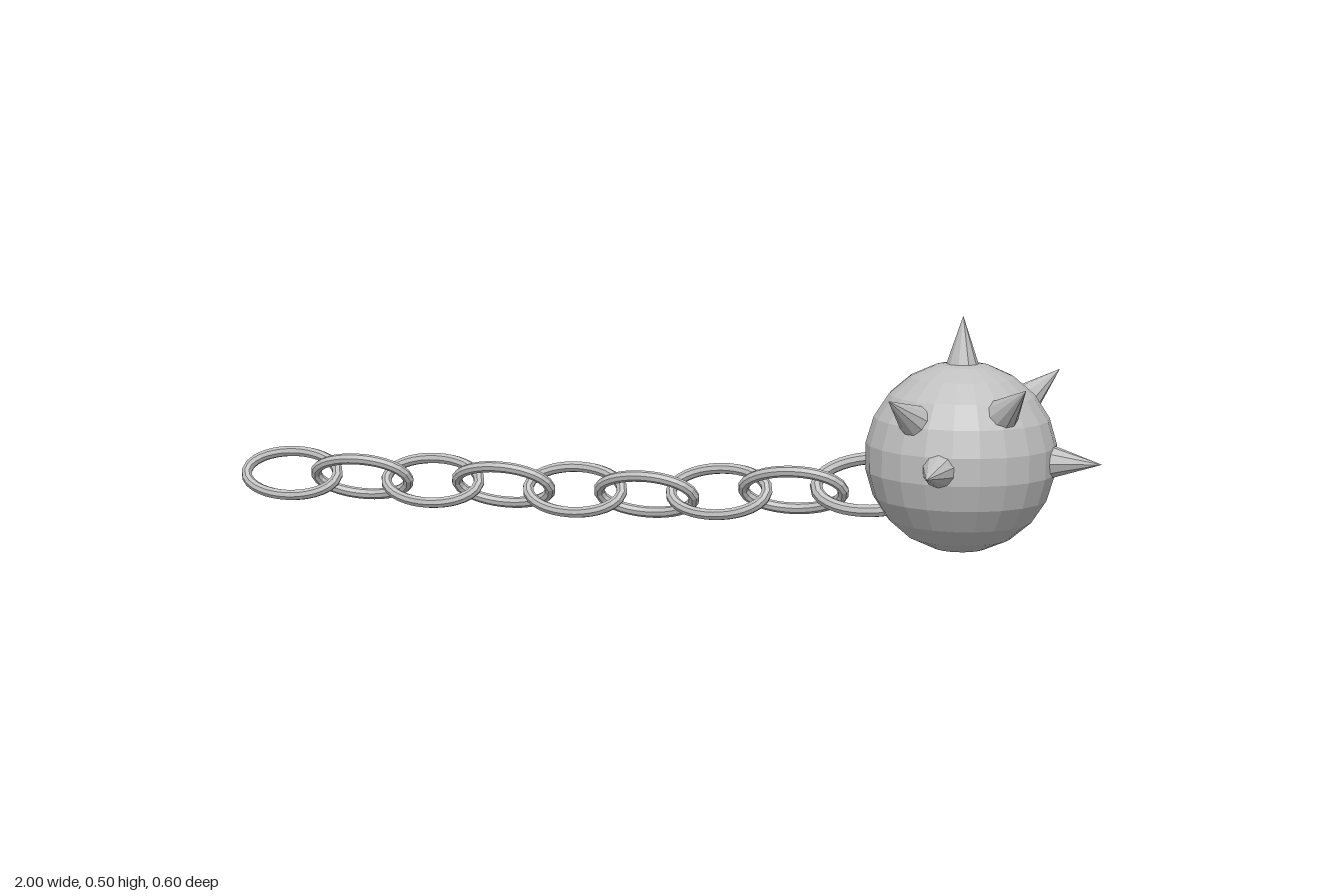
import * as THREE from 'three';

export function createModel() {
  const model = new THREE.Group();
  model.name = 'spikedBallAndChain';
  const steel = new THREE.MeshStandardMaterial({ color: 0xc0c0c0, flatShading: true });
  steel.name = 'steel';

  // Faceted ball
  const center = new THREE.Vector3(0.7, 0.203, 0);
  const ball = new THREE.Mesh(new THREE.SphereGeometry(0.202, 22, 11), steel);
  ball.name = 'ball';
  ball.position.copy(center);
  model.add(ball);

  // Spikes pointing outward from the ball
  const spikeLength = 0.105;
  const spikeGeometry = new THREE.ConeGeometry(0.035, spikeLength, 10);
  spikeGeometry.translate(0, 0.298 - spikeLength / 2, 0);
  const up = new THREE.Vector3(0, 1, 0);
  const addSpike = (x, y, z) => {
    const spike = new THREE.Mesh(spikeGeometry, steel);
    spike.name = 'spike';
    spike.position.copy(center);
    spike.quaternion.setFromUnitVectors(up, new THREE.Vector3(x, y, z).normalize());
    model.add(spike);
  };
  addSpike(0, 1, 0);
  addSpike(1, 0, 0);
  for (const side of [-1, 1]) {
    addSpike(0, 0, side);
    addSpike(1, 1, side);
    addSpike(-0.095, 0.146, side * 0.24);
  }

  // One oval chain link, lying in its own xy plane
  const oval = [];
  for (let i = 0; i < 24; i++) {
    const a = (i / 24) * Math.PI * 2;
    oval.push(new THREE.Vector3(0.113 * Math.cos(a), 0.056 * Math.sin(a), 0));
  }
  const linkGeometry = new THREE.TubeGeometry(
    new THREE.CatmullRomCurve3(oval, true), 32, 0.0125, 8, true);

  // Link centres along the gently curved chain
  const path = [
    [-0.875, 0.072, 0], [-0.702, 0.072, -0.013], [-0.53, 0.072, -0.024],
    [-0.357, 0.072, -0.028], [-0.184, 0.072, -0.028], [-0.012, 0.073, -0.022],
    [0.16, 0.092, -0.012], [0.333, 0.108, 0], [0.51, 0.131, -0.005],
  ].map((p) => new THREE.Vector3(...p));

  // Links follow the path and alternate their roll; the last one is larger
  const chain = new THREE.Group();
  chain.name = 'chain';
  path.forEach((p, i) => {
    const before = path[Math.max(i - 1, 0)];
    const after = path[Math.min(i + 1, path.length - 1)];
    const d = after.clone().sub(before).normalize();
    const link = new THREE.Mesh(linkGeometry, steel);
    link.name = 'chainLink';
    link.position.copy(p);
    const roll = (i % 2 ? 1 : -1) * 0.61;
    link.rotation.set(roll, Math.atan2(-d.z, d.x), 0.6 * Math.asin(d.y), 'YZX');
    if (i === path.length - 1) link.scale.setScalar(1.12);
    chain.add(link);
  });
  model.add(chain);
  return model;
}
